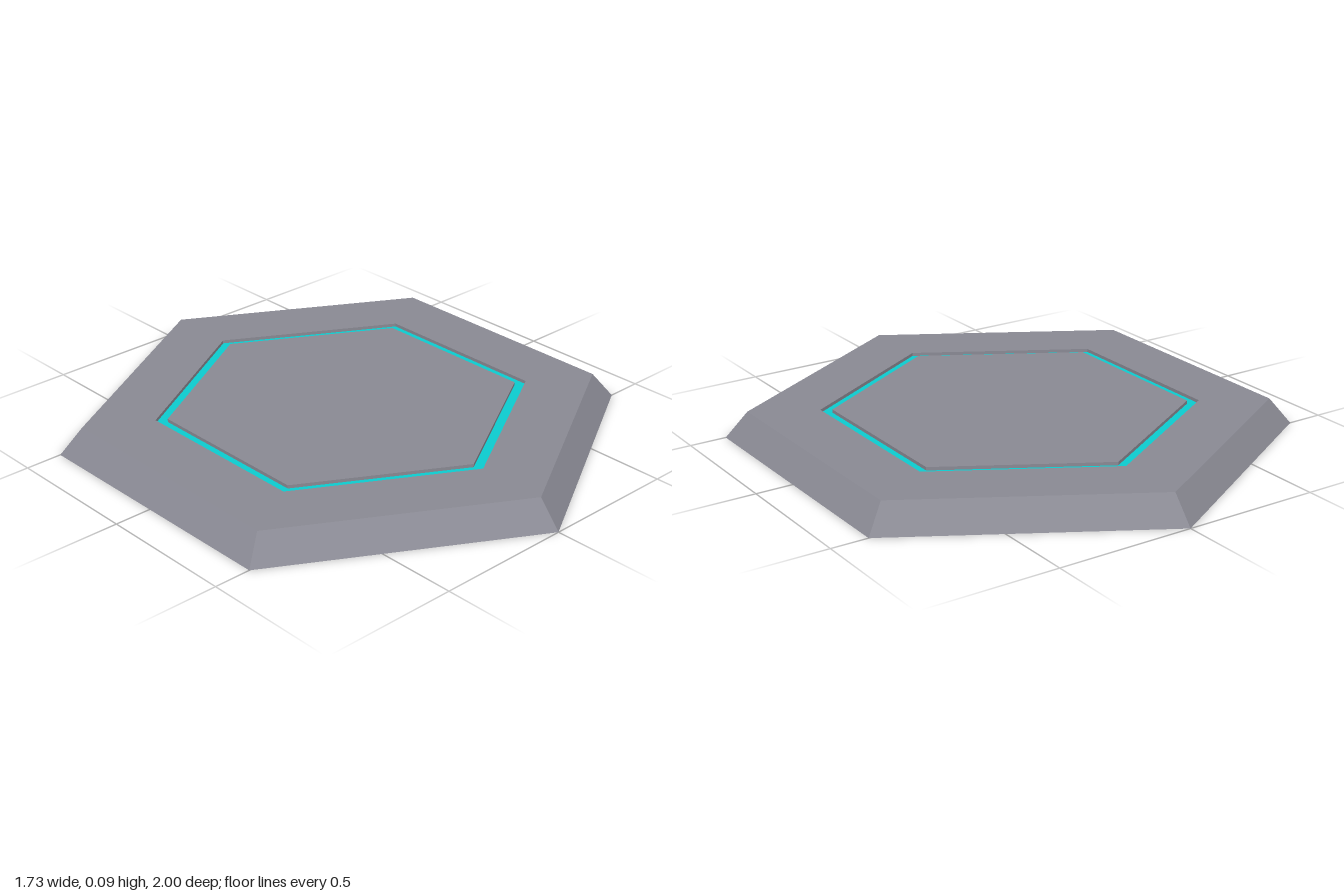
import * as THREE from 'three';

const TOP = 0.095, GROOVE = 0.083;

// Six-sided lathe with flat faces; profile points are [radius, height], bottom to top.
function hexLathe(name, profile, material) {
  const points = profile.map(([r, y]) => new THREE.Vector2(r, y));
  const geometry = new THREE.LatheGeometry(points, 6).toNonIndexed();
  geometry.computeVertexNormals();
  const mesh = new THREE.Mesh(geometry, material);
  mesh.name = name;
  return mesh;
}

export function createModel() {
  const stone = new THREE.MeshStandardMaterial({ color: 0x8a8a94 });
  stone.name = 'grey stone';
  const glow = new THREE.MeshStandardMaterial({ color: 0x0ccccf });
  glow.name = 'cyan inlay';

  const group = new THREE.Group();
  group.name = 'hexagonTile';
  group.add(
    // bevelled slab with the outer wall of the groove
    hexLathe('slab', [[0, 0], [1, 0], [0.92, TOP], [0.667, TOP], [0.667, GROOVE]], stone),
    // coloured groove floor
    hexLathe('inlayRing', [[0.667, GROOVE], [0.625, GROOVE]], glow),
    // raised centre panel
    hexLathe('centrePanel', [[0.625, GROOVE], [0.625, TOP], [0, TOP]], stone),
  );
  return group;
}
